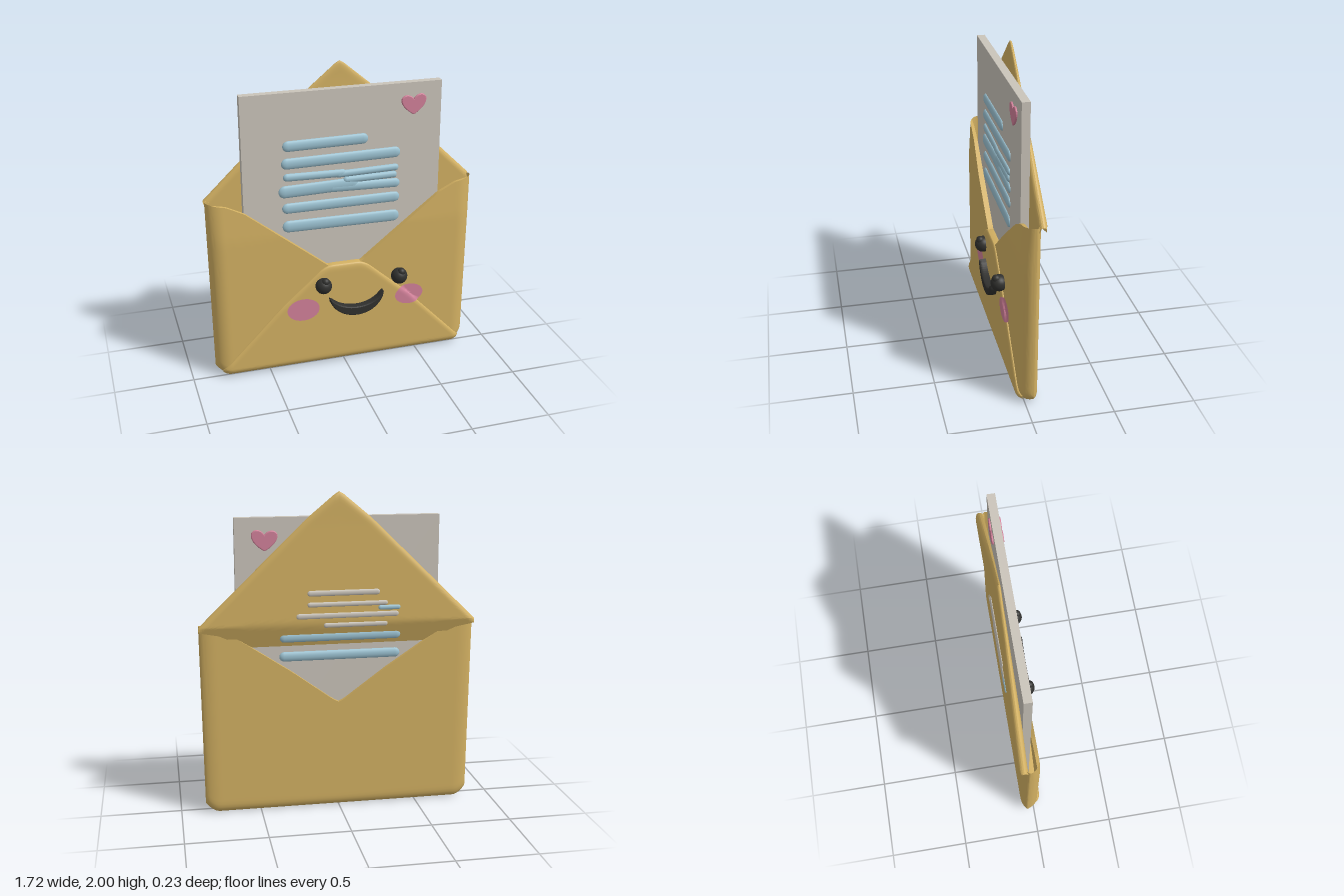
import * as THREE from 'three';
import { toCreasedNormals } from 'three/addons/utils/BufferGeometryUtils.js';

const mat = (name, color, side = THREE.FrontSide) => {
  const m = new THREE.MeshStandardMaterial({ color, side });
  m.name = name;
  return m;
};
const clamp = (t) => Math.min(1, Math.max(0, t));
const lerp = (a, b, t) => a + (b - a) * clamp(t);
// quarter-circle ease used for every soft rim
const round = (t) => Math.sqrt(1 - (1 - clamp(t)) ** 2);

// piecewise linear curve over |x|
function curve(points) {
  return (x) => {
    const a = Math.abs(x);
    for (let i = 1; i < points.length; i++) {
      const [x0, y0] = points[i - 1], [x1, y1] = points[i];
      if (a <= x1) return lerp(y0, y1, (a - x0) / (x1 - x0));
    }
    return points[points.length - 1][1];
  };
}

// curved sheet between a lower and an upper edge; lip folds the upper edge back to a given z
function sheet(hw, low, high, zAt, { back = false, lip = null } = {}) {
  const nx = 96, ny = 36, pos = [], idx = [];
  const rows = lip === null ? ny : ny + 1;
  for (let j = 0; j <= rows; j++) {
    const v = 0.5 - 0.5 * Math.cos(Math.PI * Math.min(j, ny) / ny);
    for (let i = 0; i <= nx; i++) {
      const x = hw * Math.sin((i / nx - 0.5) * Math.PI);
      const y = lerp(low(x), high(x), v);
      const z = zAt(x, y);
      const folded = back ? Math.max(z, lip) : Math.min(z, lip);
      pos.push(x * (0.985 + 0.0125 * Math.min(y, 1.2)), y, j > ny ? folded : z);
    }
  }
  for (let j = 0; j < rows; j++) for (let i = 0; i < nx; i++) {
    const a = j * (nx + 1) + i, b = a + 1, c = a + nx + 1, d = c + 1;
    if (back) idx.push(a, c, b, b, c, d);
    else idx.push(a, b, c, b, d, c);
  }
  const g = new THREE.BufferGeometry();
  g.setAttribute('position', new THREE.Float32BufferAttribute(pos, 3));
  g.setIndex(idx);
  return toCreasedNormals(g, 0.7);
}

export function createModel() {
  const root = new THREE.Group();
  root.name = 'envelopeWithLetter';
  const tan = mat('envelope tan', 0xd2b062, THREE.DoubleSide);
  const white = mat('paper grey', 0xcac4ba);
  const blue = mat('writing blue', 0x9cc3d3);
  const pink = mat('blush pink', 0xd2819a, THREE.DoubleSide);
  const black = mat('face black', 0x30302e);
  const add = (name, geo, material, x = 0, y = 0, z = 0) => {
    const m = new THREE.Mesh(geo, material);
    m.name = name;
    m.position.set(x, y, z);
    root.add(m);
    return m;
  };

  // envelope pocket: pillowed front and back panels meeting at a rim
  const W = 0.86;
  const bottom = (x) => 0.06 * clamp((Math.abs(x) - 0.77) / 0.09) ** 2;
  const frontTop = curve([[0, 0.7], [0.1, 0.7], [0.3, 0.86], [0.63, 1.12], [0.74, 1.175], [W, 1.2]]);
  const backTop = curve([[0, 0.69], [0.04, 0.71], [0.3, 0.9], [0.63, 1.12], [0.74, 1.175], [W, 1.2]]);
  const rim = (x, y) => round((W - Math.abs(x)) / 0.1) * round((y - bottom(x)) / 0.06);
  const frontZ = (x, y) => -0.045 + (0.08 - 0.015 * clamp((y - 0.95) / 0.25)) * rim(x, y);
  const backZ = (x, y) => -0.045 - 0.036 * rim(x, y);
  add('frontPanel', sheet(W, bottom, frontTop, frontZ, { lip: 0 }), tan);
  add('backPanel', sheet(W, bottom, backTop, backZ, { back: true, lip: -0.056 }), tan);

  // lower front flap, slightly raised over the side folds
  const foldTop = curve([[0, 0.71], [0.1, 0.71], [0.15, 0.69], [0.42, 0.455], [0.82, 0.05]]);
  const foldZ = (x, y) => frontZ(x, y) + 0.003 + 0.012 * round((foldTop(x) - y) / 0.04);
  add('lowerFold', sheet(0.82, (x) => bottom(x) + 0.012, foldTop, foldZ, { lip: 0 }), tan);

  // open top flap
  const flapTop = curve([[0, 2], [0.02, 1.99], [0.2, 1.84], [W, 1.2]]);
  const flapLow = (x) => Math.min(flapTop(x), Math.max(1.06, backTop(x) - 0.03));
  const edge = (x, y) => round((flapTop(x) - y) / 0.05);
  const flapBack = (x, y) => {
    const z = y > 1.2 ? lerp(-0.109, -0.097, (y - 1.2) / 0.6) : lerp(-0.06, -0.109, (y - 1.06) / 0.14);
    return lerp(-0.08, z, edge(x, y));
  };
  const flapFront = (x, y) => lerp(-0.08, lerp(-0.056, -0.07, (y - 1.4) / 0.5), edge(x, y));
  add('topFlapBack', sheet(W, flapLow, flapTop, flapBack, { back: true }), tan);
  add('topFlapFront', sheet(W, flapLow, flapTop, flapFront), tan);

  // letter
  add('letter', new THREE.BoxGeometry(1.26, 1.75, 0.05), white, 0, 0.975, -0.028);

  // brushed lines: flattened capsules [x0, x1, y, height, tilt]
  const stroke = (name, [x0, x1, y, h, tilt = 0], z, depth, material) => {
    const g = new THREE.CapsuleGeometry(h / 2, x1 - x0 - h, 6, 14);
    g.rotateZ(Math.PI / 2);
    g.scale(1, 1, depth / (h / 2));
    add(name, g, material, (x0 + x1) / 2, y, z).rotation.z = tilt;
  };
  const lines = [
    [-0.38, 0.16, 1.52, 0.068, 0.01], [-0.39, 0.37, 1.41, 0.07, 0.01], [-0.38, 0.02, 1.315, 0.05, -0.02],
    [-0.05, 0.36, 1.31, 0.045, 0.02], [0, 0.35, 1.265, 0.045, 0.01], [-0.41, 0.1, 1.23, 0.08, 0.02],
    [-0.1, 0.37, 1.215, 0.06, -0.03], [-0.39, 0.37, 1.115, 0.068], [-0.39, 0.37, 0.99, 0.078, -0.01],
  ];
  lines.forEach((l) => stroke('writingLine', l, -0.003, 0.016, blue));

  // lines showing on the back
  [[-0.39, 0.37, 1.115, 0.06], [-0.39, 0.37, 0.99, 0.06]].forEach((l) =>
    stroke('backWritingLine', l, l[2] > 1.06 ? -0.074 : -0.054, 0.015, blue));
  [[-0.25, 0.2, 1.39, 0.035], [-0.3, 0.2, 1.32, 0.03], [-0.37, 0.27, 1.25, 0.035], [-0.3, 0.1, 1.19, 0.03]]
    .forEach((l) => stroke('backPaleLine', l, -0.106, 0.008, white));
  stroke('backWritingLine', [-0.38, -0.24, 1.29, 0.03], -0.106, 0.009, blue);

  // heart through the letter corner
  const heart = new THREE.Shape();
  heart.moveTo(0, -0.06);
  heart.bezierCurveTo(-0.03, -0.045, -0.085, 0, -0.072, 0.035);
  heart.bezierCurveTo(-0.055, 0.062, -0.015, 0.05, 0, 0.022);
  heart.bezierCurveTo(0.015, 0.055, 0.055, 0.068, 0.072, 0.04);
  heart.bezierCurveTo(0.085, 0, 0.03, -0.045, 0, -0.06);
  add('heart', new THREE.ExtrudeGeometry(heart, {
    depth: 0.06, bevelEnabled: true, bevelSize: 0.006, bevelThickness: 0.006, bevelSegments: 3, curveSegments: 10,
  }), pink, 0.45, 1.715, -0.058);

  // eyes with a small bump on top
  for (const x of [-0.148, 0.36]) {
    add('eye', new THREE.SphereGeometry(0.053, 24, 16), black, x, 0.582, 0.062);
    add('eyeBump', new THREE.SphereGeometry(0.026, 16, 12), black, x + 0.008, 0.618, 0.082);
  }

  // crescent smile
  const smile = new THREE.Shape();
  smile.moveTo(-0.105, 0.48);
  smile.bezierCurveTo(-0.06, 0.33, 0.19, 0.31, 0.242, 0.49);
  smile.bezierCurveTo(0.17, 0.38, -0.02, 0.385, -0.105, 0.48);
  add('smile', new THREE.ExtrudeGeometry(smile, {
    depth: 0.03, bevelEnabled: true, bevelSize: 0.008, bevelThickness: 0.018, bevelSegments: 4, curveSegments: 24,
  }), black, 0, 0, 0.05);

  // cheeks laid on the curved front
  for (const [cx, cy, rx, ry] of [[-0.28, 0.425, 0.106, 0.077], [0.436, 0.432, 0.098, 0.068]]) {
    const g = new THREE.RingGeometry(0.001, 1, 40, 10);
    const p = g.attributes.position;
    for (let i = 0; i < p.count; i++) {
      const x = cx + p.getX(i) * rx, y = cy + p.getY(i) * ry;
      p.setXYZ(i, x, y, Math.max(frontZ(x, y), y < foldTop(x) ? foldZ(x, y) : -1) + 0.005);
    }
    g.computeVertexNormals();
    add('cheek', g, pink);
  }
  return root;
}
